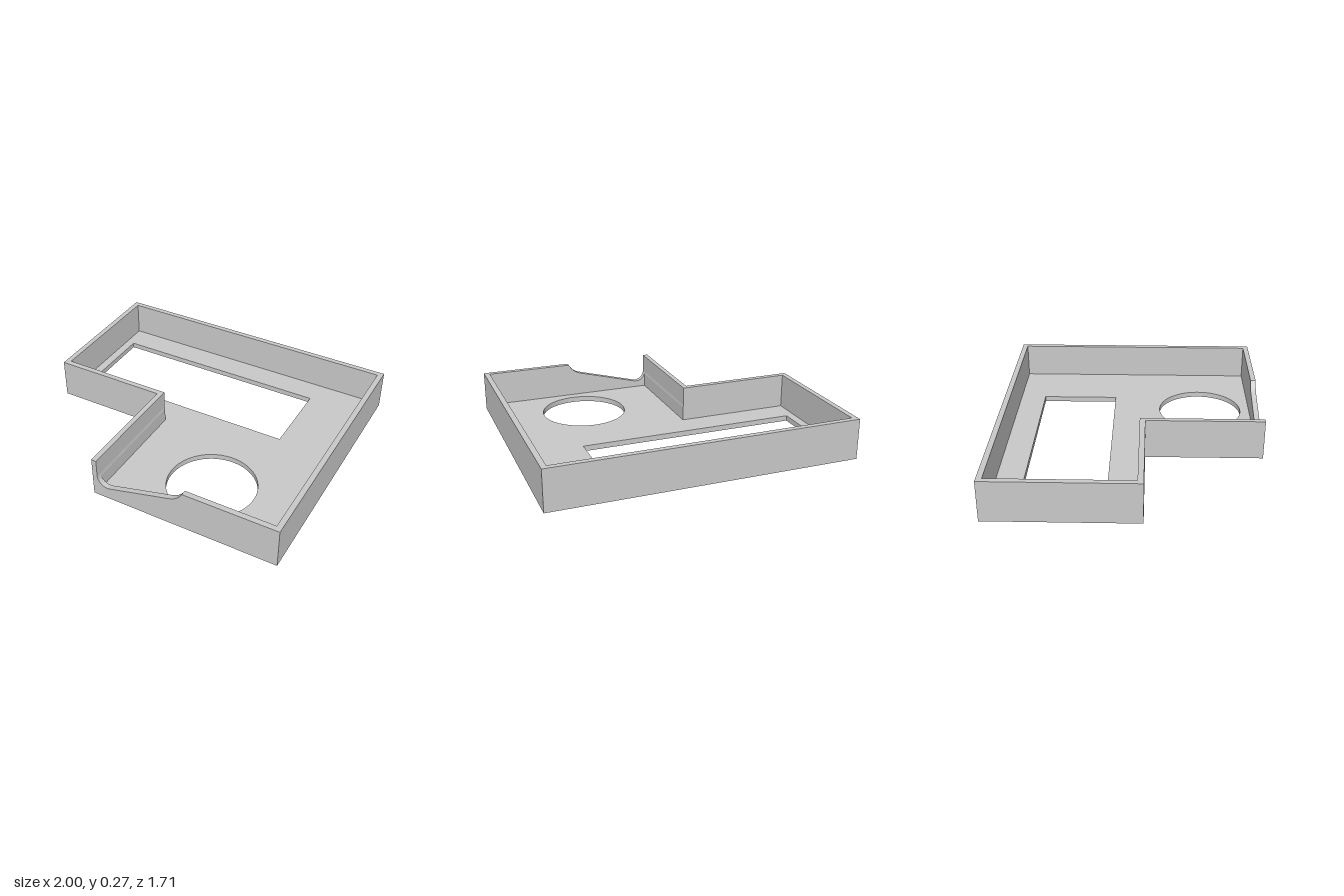
import * as THREE from 'three';
import { toCreasedNormals } from 'three/addons/utils/BufferGeometryUtils.js';

const H = 0.267;        // overall height
const T = 0.036;        // wall and floor thickness
const Z = 0.857;        // half depth
const STEP_X = -0.24;   // outer face of the step wall
const STEP_Z = 0.092;   // outer face of the shallow front wall
const R = 0.07;         // rounded bottom of the notch
const CX = -0.137, CY = 0.15;

// Floor-plan outline from [x, z] pairs, listed anticlockwise as seen from above
const plan = (pts) => new THREE.Shape(pts.map(([x, z]) => new THREE.Vector2(x, -z)));

export function createModel() {
  const group = new THREE.Group();
  const grey = new THREE.MeshStandardMaterial({ color: 0xc8c8c8 });
  grey.name = 'grey plastic';

  const add = (name, shape, depth) => {
    const geo = new THREE.ExtrudeGeometry(shape, { depth, bevelEnabled: false, curveSegments: 48 });
    const mesh = new THREE.Mesh(toCreasedNormals(geo, 0.2), grey);
    mesh.name = name;
    group.add(mesh);
    return mesh;
  };

  // L-shaped floor with a rectangular window and a round hole
  const floorShape = plan([[-1, STEP_Z], [STEP_X, STEP_Z], [STEP_X, Z], [1, Z], [1, -Z], [-1, -Z]]);
  const windowHole = plan([[-0.907, -0.132], [0.562, -0.132], [0.562, -0.648], [-0.907, -0.648]]);
  const roundHole = new THREE.Path();
  roundHole.absarc(0.379, -0.474, 0.285, 0, Math.PI * 2, false);
  floorShape.holes.push(windowHole, roundHole);
  add('floor', floorShape, T).rotation.x = -Math.PI / 2;

  // Right, back, left and shallow front walls in one strip
  const strip = plan([
    [1, Z - T], [1, -Z], [-1, -Z], [-1, STEP_Z], [STEP_X, STEP_Z], [STEP_X, STEP_Z - T],
    [-1 + T, STEP_Z - T], [-1 + T, -Z + T], [1 - T, -Z + T], [1 - T, Z - T],
  ]);
  const walls = add('outerWalls', strip, H - T);
  walls.rotation.x = -Math.PI / 2;
  walls.position.y = T;

  // Step wall, slightly relieved on its inner face above the notch radius
  const inner = STEP_X + T;
  const a = Math.PI + Math.acos((CX - inner) / R);
  const step = new THREE.Shape();
  step.moveTo(STEP_X, T);
  step.lineTo(inner, T);
  step.absarc(CX, CY, R, a, Math.PI, true);
  step.lineTo(CX - R, H);
  step.lineTo(STEP_X, H);
  step.closePath();
  add('stepWall', step, Z - STEP_Z).position.z = STEP_Z - T;

  // Front wall with the sloping notch
  const slope = Math.PI / 12;
  const front = new THREE.Shape();
  front.moveTo(STEP_X, T);
  front.lineTo(1, T);
  front.lineTo(1, H);
  front.lineTo(0.385, H);
  front.quadraticCurveTo(0.356, 0.21, 0.295, 0.194);
  front.lineTo(CX + R * Math.sin(slope), CY - R * Math.cos(slope));
  front.absarc(CX, CY, R, -Math.PI / 2 + slope, -Math.PI, true);
  front.lineTo(CX - R, H);
  front.lineTo(STEP_X, H);
  front.closePath();
  add('frontWall', front, T).position.z = Z - T;

  return group;
}
